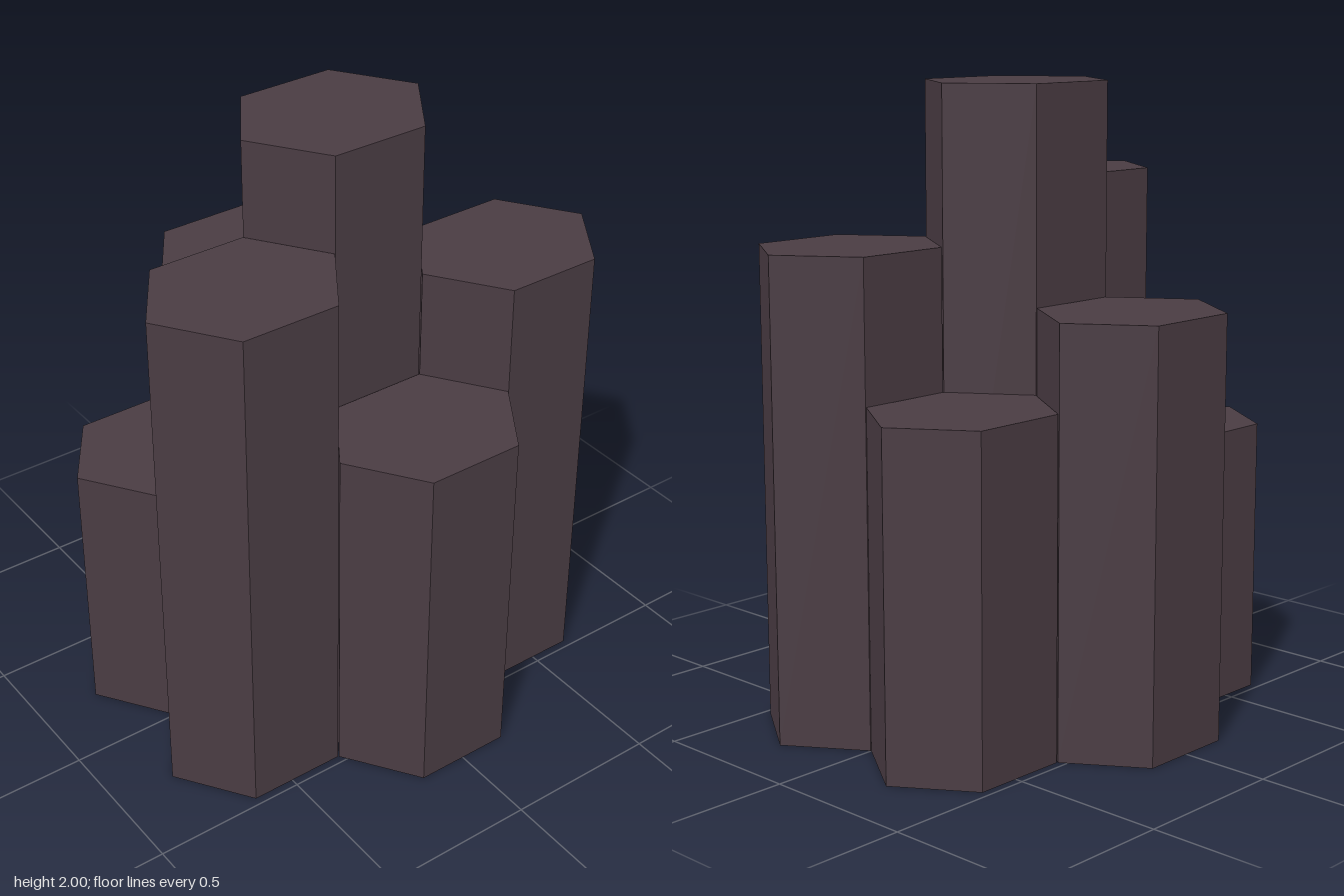
import * as THREE from 'three';

// Cluster of seven hexagonal stone columns of differing heights
export function createModel() {
  const group = new THREE.Group();
  const stone = new THREE.MeshStandardMaterial({ color: 0x4a3c43 });
  stone.name = 'darkStone';

  const radius = 0.318; // corner reach along x
  const squash = 0.858; // hexagons are slightly flattened along z

  // name, x, z, height
  const columns = [
    ['centreColumn', 0, 0, 2],
    ['frontColumn', 0, 0.476, 1.156],
    ['backColumn', 0, -0.476, 1.333],
    ['frontLeftColumn', 0.48, 0.238, 1.511],
    ['frontRightColumn', -0.48, 0.238, 1.689],
    ['backLeftColumn', 0.48, -0.238, 1.067],
    ['backRightColumn', -0.48, -0.238, 0.889],
  ];

  for (const [name, x, z, height] of columns) {
    // Six-sided prism with corners pointing along x and faceted normals
    const prism = new THREE.CylinderGeometry(radius, radius, height, 6, 1, false, Math.PI / 2)
      .scale(1, 1, squash)
      .toNonIndexed();
    prism.computeVertexNormals();
    const mesh = new THREE.Mesh(prism, stone);
    mesh.name = name;
    mesh.position.set(x, height / 2, z);
    group.add(mesh);
  }
  return group;
}
